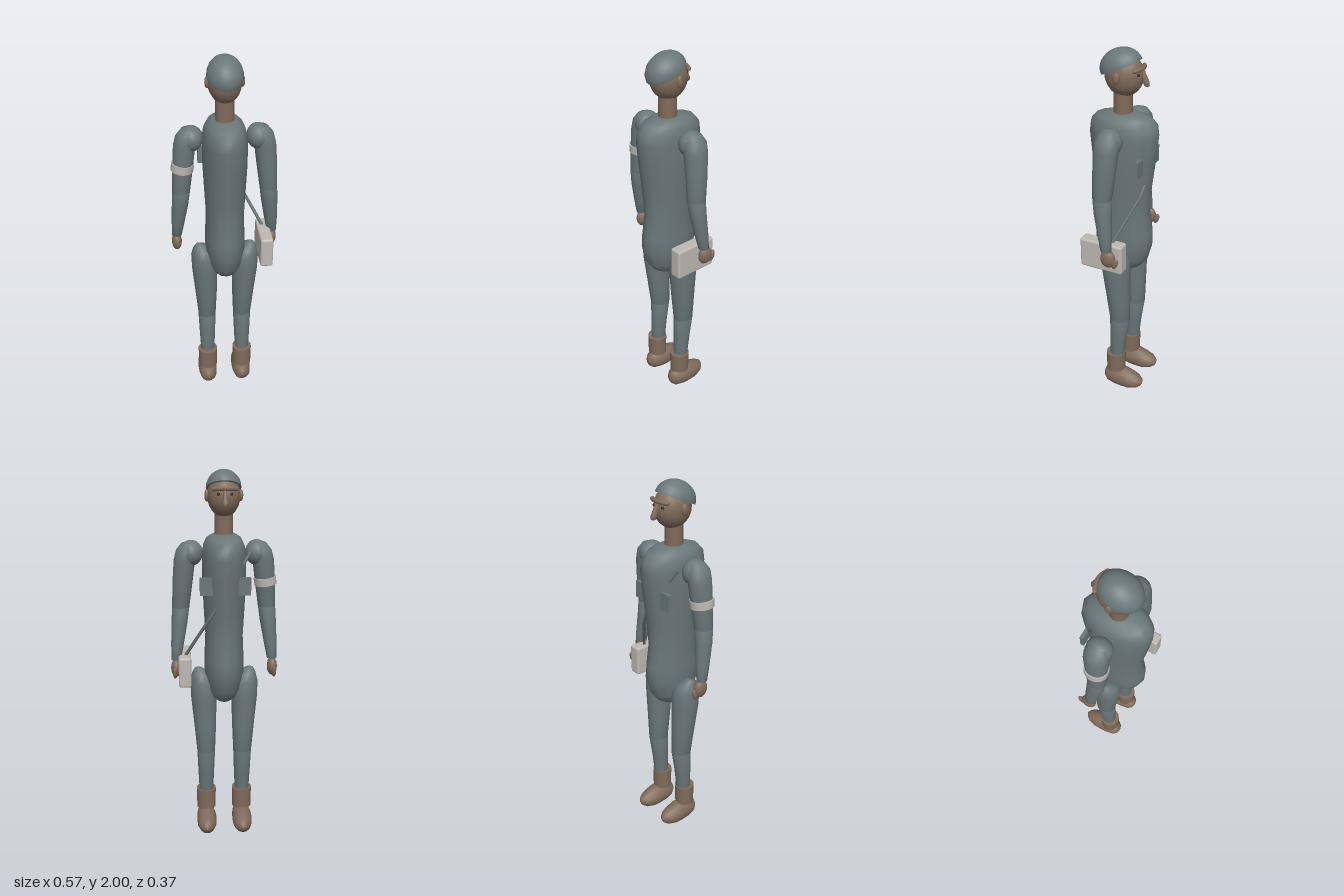
import * as THREE from 'three';
import { RoundedBoxGeometry } from 'three/addons/geometries/RoundedBoxGeometry.js';

const mat = (name, color) => Object.assign(new THREE.MeshStandardMaterial({ color }), { name });

// Smooth closed skin through elliptical sections [y, rx, rz, cx, cz], bottom to top
function loft(sections, n = 14) {
  const pos = [], idx = [];
  sections.forEach(([y, rx, rz, cx = 0, cz = 0], i) => {
    for (let j = 0; j < n; j++) {
      const a = (j / n) * Math.PI * 2 + Math.PI / 2;
      pos.push(cx + Math.cos(a) * rx, y, cz + Math.sin(a) * rz);
      if (i === sections.length - 1) continue;
      const p = i * n + j, q = i * n + (j + 1) % n;
      idx.push(p, p + n, q, p + n, q + n, q);
    }
  });
  const g = new THREE.BufferGeometry();
  g.setAttribute('position', new THREE.Float32BufferAttribute(pos, 3));
  g.setIndex(idx);
  g.computeVertexNormals();
  return g;
}

export function createModel() {
  const root = new THREE.Group();
  root.name = 'standingFigure';
  const cloth = mat('greyCloth', 0x6b7779);
  const skin = mat('brownSkinAndLeather', 0x806b5b);
  const pale = mat('paleCanvas', 0xbdb8b3);
  const dark = mat('darkEye', 0x2c2825);

  function add(name, geo, material, x = 0, y = 0, z = 0, parent = root) {
    const m = new THREE.Mesh(geo, material);
    m.name = name;
    m.position.set(x, y, z);
    parent.add(m);
    return m;
  }
  function ball(name, material, x, y, z, rx, ry, rz, parent = root) {
    const m = add(name, new THREE.SphereGeometry(1, 16, 12), material, x, y, z, parent);
    m.scale.set(rx, ry, rz);
    return m;
  }

  // Torso
  add('torso', loft([
    [0.775, 0.002, 0.002], [0.785, 0.04, 0.06], [0.81, 0.068, 0.1], [0.86, 0.09, 0.138],
    [0.95, 0.105, 0.163], [1.03, 0.105, 0.16], [1.15, 0.1, 0.142], [1.28, 0.107, 0.152],
    [1.45, 0.115, 0.174], [1.57, 0.114, 0.187], [1.625, 0.107, 0.18], [1.66, 0.09, 0.148],
    [1.68, 0.06, 0.085], [1.683, 0.002, 0.002],
  ]), cloth);

  // Neck and head
  add('neck', new THREE.CylinderGeometry(0.047, 0.048, 0.2, 14), skin, 0, 1.72, 0.007);
  ball('head', skin, 0, 1.872, 0, 0.084, 0.108, 0.1);
  const cap = add('cap', new THREE.SphereGeometry(1, 20, 8, 0, Math.PI * 2, 0, Math.PI / 2), cloth, 0, 1.908, 0.016);
  cap.scale.set(0.09, 0.09, 0.112);
  cap.rotation.x = 0.42;
  const capBase = add('capUnderside', new THREE.CircleGeometry(1, 20), cloth, 0, 1.908, 0.016);
  capBase.scale.set(0.09, 0.112, 1);
  capBase.rotation.x = Math.PI / 2 + 0.42;

  // Face
  const brow = new THREE.QuadraticBezierCurve3(
    new THREE.Vector3(-0.055, 1.912, -0.08), new THREE.Vector3(0, 1.918, -0.115), new THREE.Vector3(0.055, 1.912, -0.08));
  add('brow', new THREE.TubeGeometry(brow, 12, 0.011, 8), skin);
  for (const s of [-1, 1]) ball('browEnd', skin, s * 0.055, 1.912, -0.08, 0.011, 0.011, 0.011);
  add('nose', loft([
    [1.825, 0.001, 0.001, 0, -0.122], [1.832, 0.013, 0.013, 0, -0.12], [1.85, 0.016, 0.018, 0, -0.114],
    [1.88, 0.011, 0.014, 0, -0.104], [1.91, 0.007, 0.008, 0, -0.096],
  ], 10), skin);

  for (const s of [-1, 1]) {
    ball('eye', dark, s * 0.032, 1.888, -0.088, 0.008, 0.008, 0.008);
    ball('ear', skin, s * 0.086, 1.873, 0.003, 0.012, 0.03, 0.018);

    // Arm
    const arm = new THREE.Group();
    arm.name = s > 0 ? 'leftArm' : 'rightArm';
    root.add(arm);
    ball('shoulder', cloth, s * 0.168, 1.585, 0, 0.06, 0.066, 0.068, arm);
    add('upperArm', loft([
      [1.27, 0.03, 0.035, s * 0.228, 0.01], [1.3, 0.046, 0.05, s * 0.226, 0.012],
      [1.43, 0.053, 0.058, s * 0.215, 0.006], [1.55, 0.056, 0.064, s * 0.203, 0.001],
      [1.6, 0.052, 0.062, s * 0.194, 0], [1.635, 0.035, 0.042, s * 0.183, 0], [1.65, 0.002, 0.002, s * 0.172, 0],
    ]), cloth, 0, 0, 0, arm);
    add('forearm', loft([
      [1.01, 0.002, 0.002, s * 0.255, -0.02], [1.02, 0.026, 0.029, s * 0.255, -0.02],
      [1.1, 0.034, 0.037, s * 0.247, -0.01], [1.22, 0.043, 0.046, s * 0.234, 0.006],
      [1.3, 0.046, 0.05, s * 0.226, 0.012], [1.33, 0.03, 0.03, s * 0.224, 0.012],
    ]), cloth, 0, 0, 0, arm);
    ball('hand', skin, s * 0.256, 0.976, -0.03, 0.027, 0.05, 0.041, arm);
    ball('thumb', skin, s * 0.262, 0.958, -0.073, 0.012, 0.032, 0.015, arm).rotation.x = -0.3;

    // Leg and boot
    const leg = new THREE.Group();
    leg.name = s > 0 ? 'leftLeg' : 'rightLeg';
    root.add(leg);
    add('thigh', loft([
      [0.46, 0.03, 0.03, s * 0.1, -0.02], [0.49, 0.05, 0.057, s * 0.1, -0.022],
      [0.65, 0.061, 0.067, s * 0.104, -0.014], [0.8, 0.07, 0.076, s * 0.11, -0.006],
      [0.89, 0.07, 0.078, s * 0.113, -0.004], [0.935, 0.05, 0.056, s * 0.122, -0.002],
      [0.962, 0.02, 0.02, s * 0.137, 0], [0.965, 0.002, 0.002, s * 0.138, 0],
    ]), cloth, 0, 0, 0, leg);
    add('shin', loft([
      [0.15, 0.03, 0.03, s * 0.1, -0.005], [0.23, 0.039, 0.04, s * 0.1, -0.005],
      [0.36, 0.045, 0.047, s * 0.1, -0.012], [0.49, 0.05, 0.057, s * 0.1, -0.022], [0.52, 0.03, 0.03, s * 0.1, -0.022],
    ]), cloth, 0, 0, 0, leg);
    add('bootShaft', new THREE.CylinderGeometry(0.055, 0.053, 0.117, 14), skin, s * 0.1, 0.186, 0.003, leg);
    // Sections run from heel to toe, then the loft is laid flat
    add('foot', loft([
      [-0.074, 0.002, 0.002, s * 0.1, 0.073], [-0.066, 0.028, 0.034, s * 0.1, 0.073],
      [-0.045, 0.045, 0.053, s * 0.1, 0.073], [0, 0.053, 0.063, s * 0.1, 0.071],
      [0.045, 0.055, 0.065, s * 0.1, 0.071], [0.09, 0.053, 0.056, s * 0.1, 0.066],
      [0.13, 0.042, 0.042, s * 0.1, 0.065], [0.155, 0.022, 0.024, s * 0.1, 0.067], [0.165, 0.002, 0.002, s * 0.1, 0.068],
    ]), skin, 0, 0, 0, leg).rotation.x = -Math.PI / 2;

    // Chest pocket
    add('chestPocket', new THREE.BoxGeometry(0.065, 0.09, 0.019), cloth, s * 0.097, 1.435, -0.126);
  }

  // Armband
  const band = add('armband', new THREE.CylinderGeometry(0.059, 0.057, 0.042, 18), pale, -0.216, 1.435, 0.006);
  band.scale.z = 1.08;
  band.rotation.z = -0.12;

  // Shoulder bag and strap
  add('bag', new RoundedBoxGeometry(0.067, 0.165, 0.238, 3, 0.012), pale, 0.21, 0.966, 0.019);
  const strap = new THREE.CatmullRomCurve3([
    [-0.13, 1.6, -0.075], [-0.04, 1.46, -0.12], [0.06, 1.3, -0.132], [0.13, 1.18, -0.088], [0.208, 1.04, -0.03],
  ].map(p => new THREE.Vector3(...p)));
  add('bagStrap', new THREE.TubeGeometry(strap, 24, 0.009, 6), cloth);

  return root;
}
